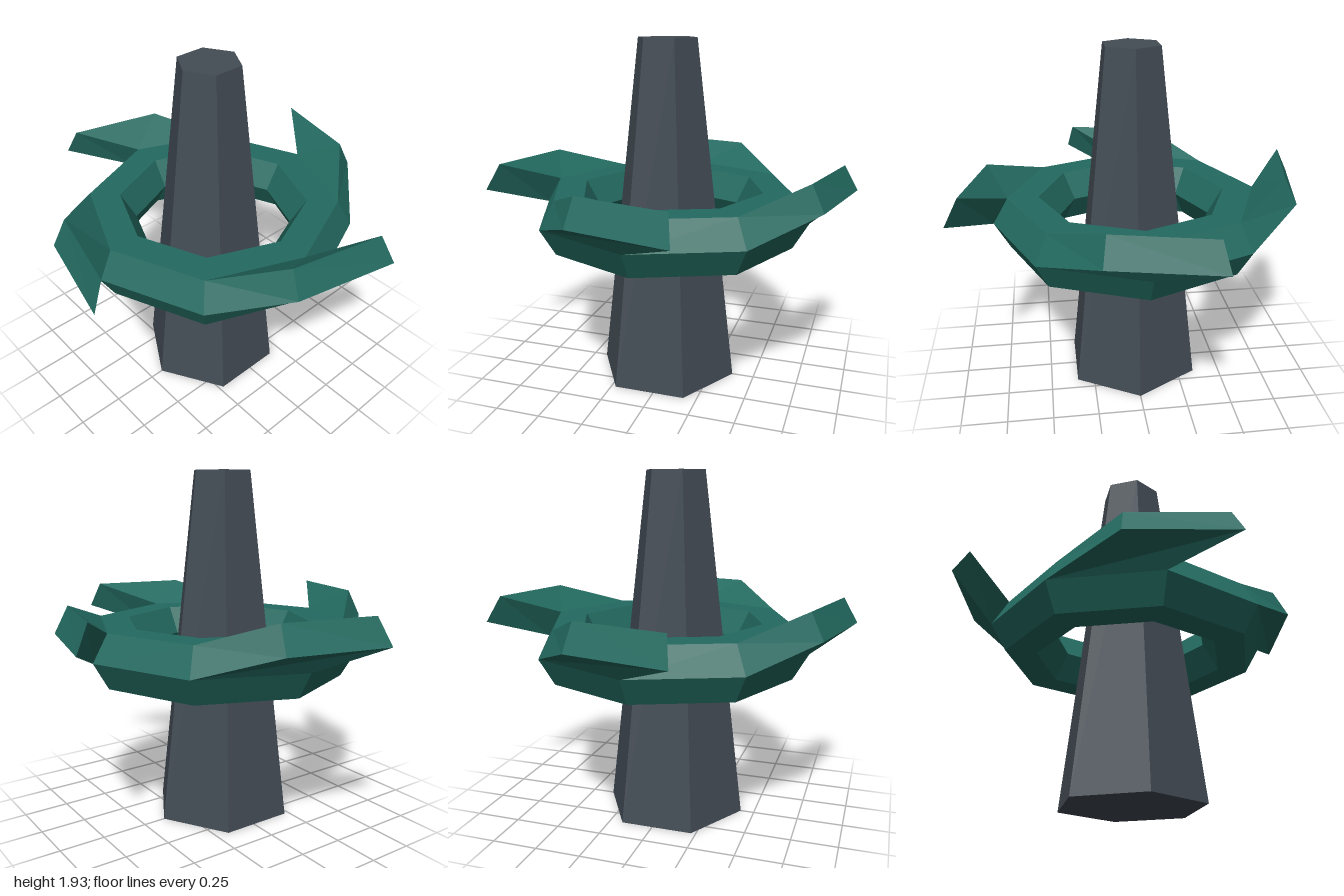
import * as THREE from 'three';

const stone = new THREE.MeshStandardMaterial({ color: 0x434c55, flatShading: true });
stone.name = 'slate grey';
const green = new THREE.MeshStandardMaterial({ color: 0x236a60, flatShading: true });
green.name = 'deep green';

const RING_Y = 0.963, RING_R = 0.605, TUBE_R = 0.17;

function addMesh(parent, name, geometry, material) {
  const mesh = new THREE.Mesh(geometry, material);
  mesh.name = name;
  parent.add(mesh);
  return mesh;
}

// Joins two four-cornered loops with side walls and caps the far end
function bladeGeometry(near, far) {
  const positions = [];
  const quad = (a, b, c, d) => positions.push(...a, ...b, ...c, ...a, ...c, ...d);
  for (let i = 0; i < 4; i++) {
    const j = (i + 1) % 4;
    quad(near[i], near[j], far[j], far[i]);
  }
  quad(...far);
  const geometry = new THREE.BufferGeometry();
  geometry.setAttribute('position', new THREE.Float32BufferAttribute(positions, 3));
  geometry.computeVertexNormals();
  return geometry;
}

export function createModel() {
  const model = new THREE.Group();
  model.name = 'bladedRingPillar';

  // Tapered six-sided pillar
  const pillar = addMesh(model, 'pillar', new THREE.CylinderGeometry(0.167, 0.4, 1.926, 6), stone);
  pillar.position.set(0, 0.963, 0.024);

  // Eight-sided ring with a hexagonal section
  const ringGeometry = new THREE.TorusGeometry(RING_R, TUBE_R, 6, 8).toNonIndexed();
  ringGeometry.rotateX(-Math.PI / 2);
  ringGeometry.computeVertexNormals();
  const ring = addMesh(model, 'ring', ringGeometry, green);
  ring.position.y = RING_Y;

  // Each blade grows from the upper outer face of every second ring segment
  const outer = RING_R + TUBE_R;
  const upper = RING_R + TUBE_R / 2;
  const top = RING_Y + TUBE_R * Math.sin(Math.PI / 3);
  const s = Math.SQRT1_2;
  const root = [
    [-upper * s, top, upper * s],
    [-outer * s, RING_Y, outer * s],
    [0, RING_Y, outer],
    [0, top, upper],
  ];
  const tip = [
    [-0.222, 1.235, 0.802],
    [-0.245, 1.09, 0.871],
    [0.312, 1.09, 0.998],
    [0.28, 1.235, 0.922],
  ];
  const blade = bladeGeometry(root, tip);
  for (let i = 0; i < 4; i++) {
    addMesh(model, `blade${i + 1}`, blade, green).rotation.y = i * Math.PI / 2;
  }
  return model;
}
